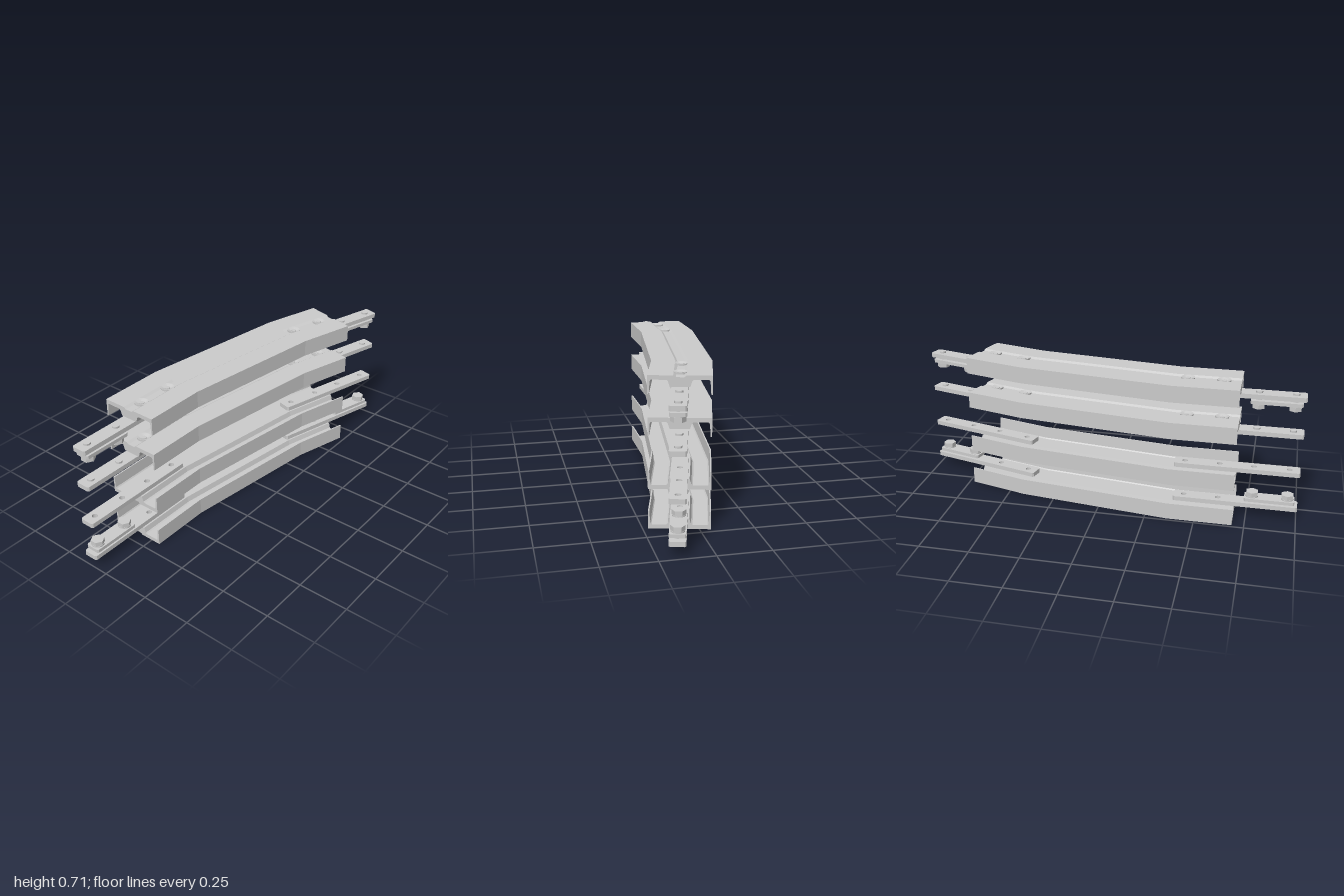
import * as THREE from 'three';
import { toCreasedNormals } from 'three/addons/utils/BufferGeometryUtils.js';

const material = new THREE.MeshStandardMaterial({ color: 0xcccccc, side: THREE.DoubleSide });

// All parts are built with y = depth from the outer web face; "sign" turns a rail upside down.
function add(parent, name, geometry, sign, x = 0, z = 0) {
  if (sign < 0) {
    geometry.scale(1, -1, 1);
    const count = geometry.index ? geometry.index.count : geometry.attributes.position.count;
    const index = geometry.index ? Array.from(geometry.index.array) : Array.from({ length: count }, (_, i) => i);
    geometry.setIndex(index.reverse());
  }
  const mesh = new THREE.Mesh(geometry, material);
  mesh.name = name;
  mesh.position.set(x, 0, z);
  parent.add(mesh);
}

// Bent channel: half section mirrored, extruded in three steps and mitred along the path
const halfSection = [
  [0.018, 0.008], [0.03, 0], [0.1425, 0], [0.1425, 0.085], [0.136, 0.085],
  [0.132, 0.026], [0.127, 0.02], [0.06, 0.02], [0.053, 0.025], [0.045, 0.051],
];
const path = [[-0.69, -0.0925], [-0.37, -0.0925], [0.39, 0.0076], [0.6875, 0.0875]];
const bends = [0, 3.75, 11.25, 15].map(THREE.MathUtils.degToRad);
const stretch = [1, 1.002, 1.002, 1];

function channel() {
  const mirrored = halfSection.map(([u, h]) => [-u, h]).reverse();
  const shape = new THREE.Shape([...halfSection, ...mirrored].map(([u, h]) => new THREE.Vector2(u, h)));
  const geometry = new THREE.ExtrudeGeometry(shape, { depth: 3, steps: 3, bevelEnabled: false });
  const p = geometry.attributes.position;
  for (let i = 0; i < p.count; i++) {
    const k = Math.round(p.getZ(i));
    const u = -p.getX(i) * stretch[k];
    p.setXYZ(i, path[k][0] - u * Math.sin(bends[k]), p.getY(i), path[k][1] + u * Math.cos(bends[k]));
  }
  geometry.computeVertexNormals();
  return geometry;
}

// Flat bar with clipped corners and round holes
function bar(x0, x1, width, h0, h1, holes) {
  const w = width / 2, c = 0.007;
  const shape = new THREE.Shape([
    [x0 + c, -w], [x1 - c, -w], [x1, -w + c], [x1, w - c],
    [x1 - c, w], [x0 + c, w], [x0, w - c], [x0, -w + c],
  ].map(([x, y]) => new THREE.Vector2(x, y)));
  for (const x of holes) shape.holes.push(new THREE.Path().absarc(x, 0, 0.014, 0, Math.PI * 2, true));
  const geometry = new THREE.ExtrudeGeometry(shape, { depth: h1 - h0, bevelEnabled: false, curveSegments: 16 });
  return geometry.rotateX(Math.PI / 2).translate(0, h1, 0);
}

function disc(radius, h0, h1, sides = 24) {
  const geometry = new THREE.CylinderGeometry(radius, radius, h1 - h0, sides).translate(0, (h0 + h1) / 2, 0);
  return toCreasedNormals(geometry, 0.6);
}

// Dished round head seated in the web groove
function screwHead() {
  const profile = [[0, 0.007], [0.018, 0.007], [0.03, 0], [0.033, 0], [0.033, 0.009]];
  return toCreasedNormals(new THREE.LatheGeometry(profile.map(([r, h]) => new THREE.Vector2(r, h)), 24), 0.6);
}

// Splice joint centred on a rail end; "out" is the outward direction along local x
function joint(sign, out, bolted) {
  const group = new THREE.Group();
  const holes = [-0.26, -0.085, 0.085, 0.26];
  add(group, 'spliceBar', bar(-0.3125, 0.3125, 0.075, 0.052, 0.075, holes), sign);
  for (const d of [0.085, 0.26]) {
    add(group, 'countersunkScrew', screwHead(), sign, -out * d);
    add(group, 'screwHexCentre', disc(0.013, 0.004, 0.008, 6), sign, -out * d);
    add(group, 'pinHead', disc(0.017, 0.043, 0.0525), sign, out * d);
    if (!bolted) continue;
    add(group, 'boltShank', disc(0.0135, 0.05, 0.126), sign, out * d);
    add(group, 'spacer', disc(0.02, 0.075, 0.085), sign, out * d);
    add(group, 'washer', disc(0.031, 0.102, 0.108), sign, out * d);
    add(group, 'hexNut', disc(0.033, 0.108, 0.13, 6), sign, out * d);
  }
  if (bolted) {
    const [a, b] = [out * 0.047, out * 0.297];
    const plate = bar(Math.min(a, b), Math.max(a, b), 0.075, 0.085, 0.102, [out * 0.085, out * 0.26]);
    add(group, 'clampPlate', plate, sign);
  }
  return group;
}

function rail(name, y, sign, bolted) {
  const group = new THREE.Group();
  group.name = name;
  group.position.y = y;
  add(group, 'channel', channel(), sign);
  const left = joint(sign, 1, bolted);
  left.name = 'leftJoint';
  left.position.set(path[3][0], 0, path[3][1]);
  left.rotation.y = -bends[3];
  const right = joint(sign, -1, bolted);
  right.name = 'rightJoint';
  right.position.set(path[0][0], 0, path[0][1]);
  group.add(left, right);
  return group;
}

export function createModel() {
  const model = new THREE.Group();
  model.name = 'curvedRailStack';
  // Two rails open upward, two open downward; only the outermost carry clamps
  model.add(
    rail('bottomRail', 0, 1, true),
    rail('lowerMiddleRail', 0.1905, 1, false),
    rail('upperMiddleRail', 0.5235, -1, false),
    rail('topRail', 0.714, -1, true),
  );
  return model;
}
